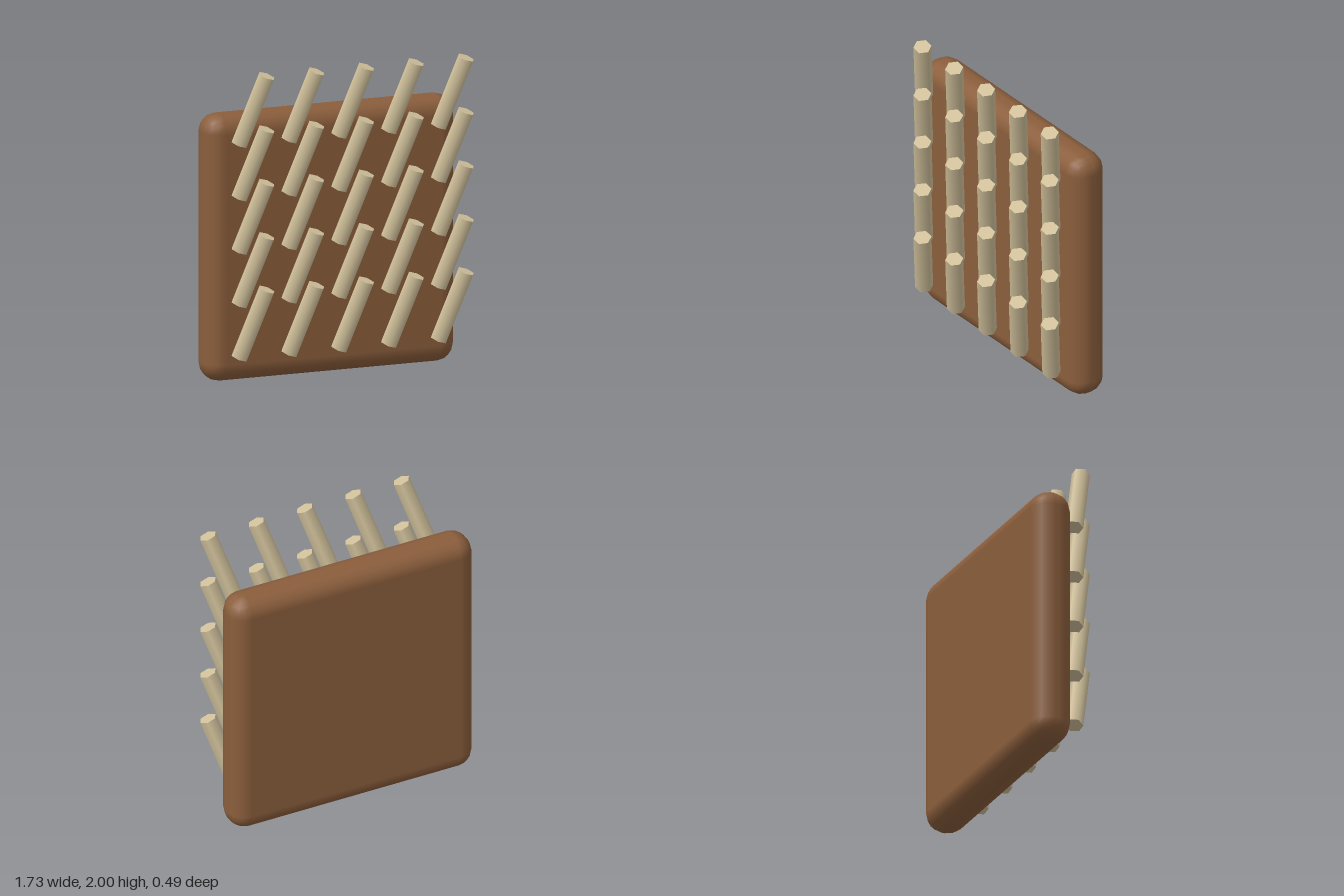
import * as THREE from 'three';
import { RoundedBoxGeometry } from 'three/addons/geometries/RoundedBoxGeometry.js';

export function createModel() {
  const model = new THREE.Group();
  model.name = 'pegBoard';

  const wood = new THREE.MeshStandardMaterial({ name: 'brown wood', color: 0x8b5e3c });
  const paleWood = new THREE.MeshStandardMaterial({ name: 'pale wood', color: 0xd2c29c });

  // Upright board with softly rounded edges
  const board = new THREE.Mesh(new RoundedBoxGeometry(1.705, 1.705, 0.26, 2, 0.12), wood);
  board.name = 'board';
  board.position.set(-0.015, 0.85, -0.12);
  model.add(board);

  // Five by five grid of leaning six-sided pegs in front of the board
  const pegs = new THREE.Group();
  pegs.name = 'pegs';
  const pegGeometry = new THREE.CylinderGeometry(0.057, 0.057, 0.476, 6);
  pegGeometry.rotateY(Math.PI / 6);
  const spacing = 0.34;
  for (let row = 0; row < 5; row++) {
    for (let column = 0; column < 5; column++) {
      const peg = new THREE.Mesh(pegGeometry, paleWood);
      peg.name = 'peg';
      peg.position.set(0.055 + (column - 2) * spacing, 0.397 + row * spacing, 0.136);
      peg.rotation.set(0.245, 0, -0.29);
      pegs.add(peg);
    }
  }
  model.add(pegs);

  return model;
}
